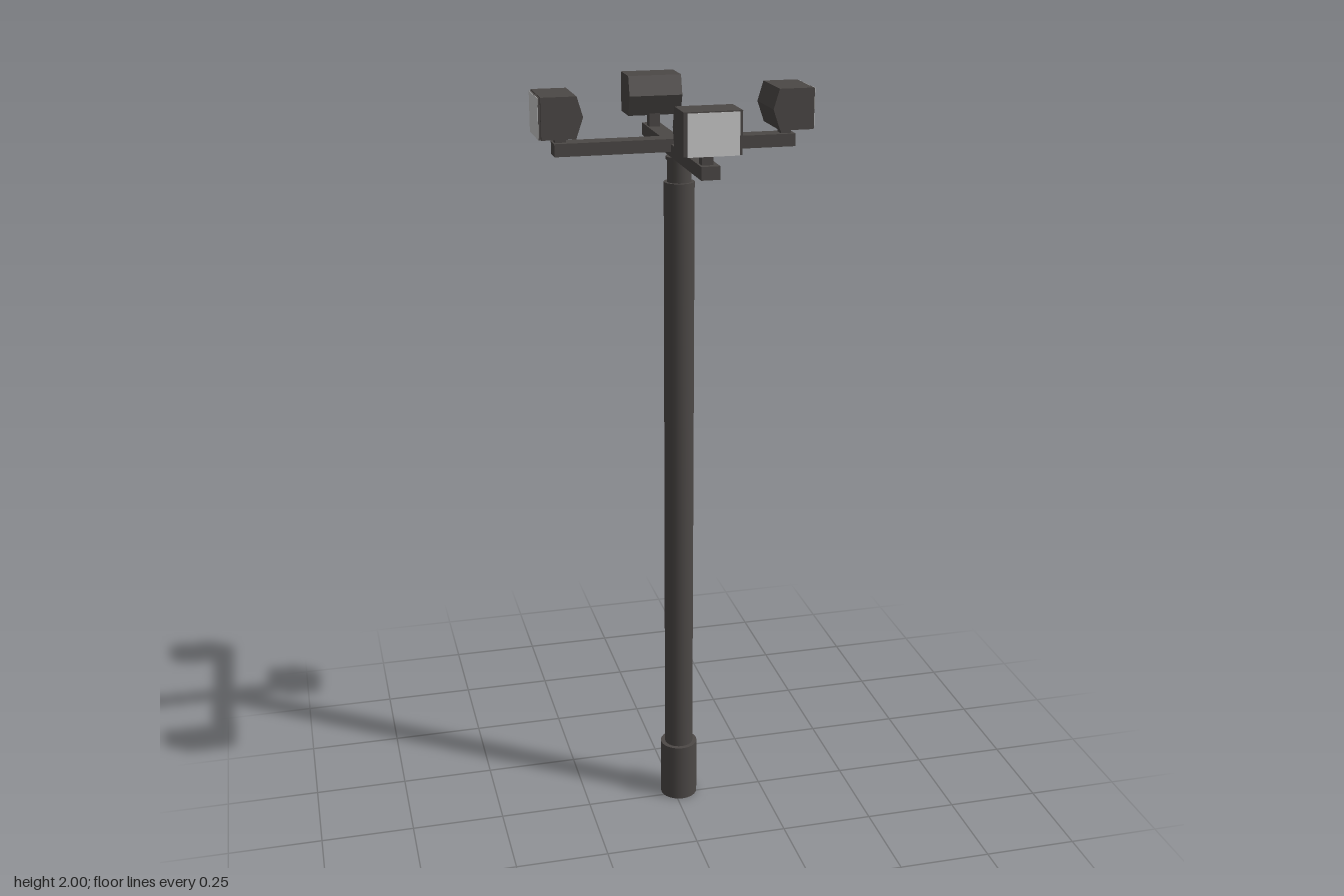
import * as THREE from 'three';

const metal = new THREE.MeshStandardMaterial({ name: 'darkMetal', color: 0x4c4846 });
const glass = new THREE.MeshStandardMaterial({ name: 'paleLens', color: 0xcdcdcd });

function add(parent, name, geometry, material, x = 0, y = 0, z = 0) {
  const mesh = new THREE.Mesh(geometry, material);
  mesh.name = name;
  mesh.position.set(x, y, z);
  parent.add(mesh);
  return mesh;
}

const box = (w, h, d) => new THREE.BoxGeometry(w, h, d);

// Lamp housing: side profile (depth, height) with a pointed back, extruded across its width
function housingGeometry(width) {
  const profile = new THREE.Shape([
    [0, 0.052], [0.018, 0], [0.103, 0], [0.103, 0.102], [0.015, 0.102],
  ].map(([d, h]) => new THREE.Vector2(d, h)));
  const geometry = new THREE.ExtrudeGeometry(profile, { depth: width, bevelEnabled: false });
  geometry.translate(0, 0, -width / 2);
  return geometry.rotateY(-Math.PI / 2);
}

// Floodlight facing local +z, with its pointed back at local z = 0
function floodlight(name, postDepth, postBottom) {
  const lamp = new THREE.Group();
  lamp.name = name;
  add(lamp, 'housing', housingGeometry(0.14), metal, 0, 1.898, 0);
  add(lamp, 'lensFrame', box(0.124, 0.1, 0.008), metal, 0, 1.948, 0.104);
  add(lamp, 'lens', box(0.124, 0.1, 0.001), glass, 0, 1.948, 0.1085);
  add(lamp, 'mountPost', box(0.028, 1.905 - postBottom, 0.027), metal,
    0, (1.905 + postBottom) / 2, postDepth);
  return lamp;
}

export function createModel() {
  const model = new THREE.Group();
  model.name = 'floodlightMast';
  const cx = 0.015, cz = -0.018;

  // Stacked cylinders of the mast: name, radius, bottom, top
  for (const [name, r, y0, y1] of [
    ['baseSleeve', 0.051, 0, 0.165],
    ['pole', 0.039, 0.165, 1.77],
    ['collar', 0.031, 1.77, 1.828],
    ['collarLip', 0.034, 1.826, 1.834],
    ['neck', 0.02, 1.83, 1.86],
  ]) {
    add(model, name, new THREE.CylinderGeometry(r, r, y1 - y0, 24), metal, cx, (y0 + y1) / 2, cz);
  }

  // Crossed arms
  add(model, 'sideArm', box(0.614, 0.032, 0.049), metal, 0.003, 1.865, cz);
  add(model, 'frontBackArm', box(0.046, 0.032, 0.615), metal, 0.011, 1.852, -0.008);

  // Four outward-facing lamps: name, x, z, turn, post depth, post bottom
  for (const [name, x, z, turn, post, bottom] of [
    ['frontLamp', 0.0075, 0.228, 0, 0.042, 1.86],
    ['leftLamp', 0.237, -0.019, Math.PI / 2, 0.051, 1.87],
    ['backLamp', 0.0065, -0.23, Math.PI, 0.03, 1.86],
    ['rightLamp', -0.239, -0.023, -Math.PI / 2, 0.047, 1.87],
  ]) {
    const lamp = floodlight(name, post, bottom);
    lamp.position.set(x, 0, z);
    lamp.rotation.y = turn;
    model.add(lamp);
  }
  return model;
}
